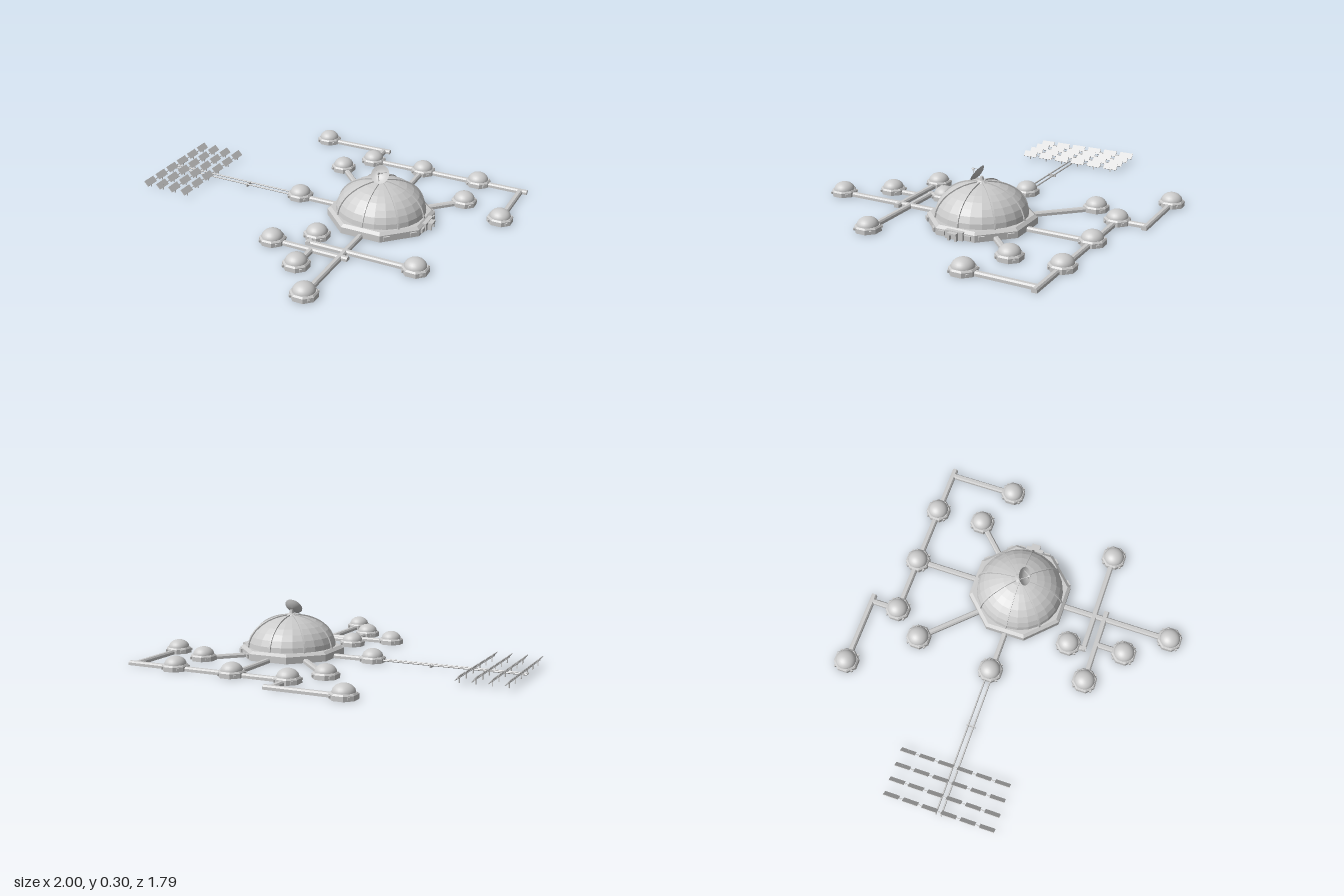
import * as THREE from 'three';

const flat = new THREE.MeshStandardMaterial({ color: 0xcccccc, flatShading: true, side: THREE.DoubleSide });
const smooth = new THREE.MeshStandardMaterial({ color: 0xcccccc, side: THREE.DoubleSide });
const HUB = { x: 0.34, z: -0.06 };

function add(parent, name, geometry, material = flat, x = 0, y = 0, z = 0) {
  const mesh = new THREE.Mesh(geometry, material);
  mesh.name = name;
  mesh.position.set(x, y, z);
  parent.add(mesh);
  return mesh;
}

// Eight-sided wall ring with flat faces toward the axes
function octagon(profile) {
  const k = 1 / Math.cos(Math.PI / 8);
  const points = profile.map(([r, y]) => new THREE.Vector2(r * k, y));
  return new THREE.LatheGeometry(points, 8, Math.PI / 8);
}

function halfDome(radius, height, around, rings) {
  return new THREE.SphereGeometry(radius, around, rings, 0, Math.PI * 2, 0, Math.PI / 2)
    .scale(1, height / radius, 1);
}

// Round bar between two points
function rod(parent, name, a, b, radius) {
  const from = new THREE.Vector3(...a), to = new THREE.Vector3(...b);
  const dir = to.clone().sub(from);
  const mesh = add(parent, name, new THREE.CylinderGeometry(radius, radius, dir.length(), 6));
  mesh.position.copy(from).add(to).multiplyScalar(0.5);
  mesh.quaternion.setFromUnitVectors(new THREE.Vector3(0, 1, 0), dir.normalize());
}

// Low corridor with a chamfered roof, along the ground between two points
function corridor(parent, x1, z1, x2, z2) {
  const w = 0.015, h = 0.022;
  const section = new THREE.Shape([[-w, 0], [w, 0], [w, h * 0.65], [w * 0.55, h], [-w * 0.55, h], [-w, h * 0.65]]
    .map(([x, y]) => new THREE.Vector2(x, y)));
  const length = Math.hypot(x2 - x1, z2 - z1);
  const mesh = add(parent, 'corridor',
    new THREE.ExtrudeGeometry(section, { depth: length, bevelEnabled: false }), flat, x1, 0, z1);
  mesh.rotation.y = Math.atan2(x2 - x1, z2 - z1);
}

// Small habitat: octagonal wall, smooth dome and corner fittings
function habitat(parent, x, z) {
  const g = new THREE.Group();
  g.name = 'habitat';
  g.position.set(x, 0, z);
  add(g, 'habitatWall', octagon([[0.065, 0], [0.065, 0.024], [0.058, 0.032], [0.05, 0.032]]));
  add(g, 'habitatDome', halfDome(0.057, 0.044, 24, 8), smooth, 0, 0.029, 0);
  for (let i = 0; i < 4; i++) {
    const a = Math.PI / 4 + i * Math.PI / 2;
    const fitting = add(g, 'wallFitting', new THREE.BoxGeometry(0.012, 0.012, 0.016), flat,
      Math.sin(a) * 0.066, 0.014, Math.cos(a) * 0.066);
    fitting.rotation.y = a;
  }
  parent.add(g);
}

function mainDome() {
  const g = new THREE.Group();
  g.name = 'mainDome';
  g.position.set(HUB.x, 0, HUB.z);
  add(g, 'baseWall', octagon([[0.267, 0], [0.267, 0.036], [0.25, 0.05], [0.225, 0.05]]));
  add(g, 'domeShell', halfDome(0.245, 0.175, 24, 8), flat, 0, 0.042, 0);

  // Ribs follow the shell from the wall to the crown
  const arc = new THREE.Shape();
  arc.absellipse(0, 0, 0.251, 0.181, 0, Math.PI / 2, false);
  arc.lineTo(0, 0.17);
  arc.absellipse(0, 0, 0.238, 0.17, Math.PI / 2, 0, true);
  const ribGeometry = new THREE.ExtrudeGeometry(arc, { depth: 0.009, bevelEnabled: false, curveSegments: 10 })
    .translate(0, 0, -0.0045);
  for (let i = 0; i < 8; i++) {
    add(g, 'rib', ribGeometry, flat, 0, 0.042, 0).rotation.y = i * Math.PI / 4;
  }

  // Windows on the three faces around the entrance
  for (const a of [Math.PI / 4, Math.PI / 2, 3 * Math.PI / 4]) {
    const face = new THREE.Group();
    face.name = 'windowFace';
    face.rotation.y = a;
    for (const s of [-1, 1]) {
      add(face, 'window', new THREE.BoxGeometry(0.034, 0.022, 0.014), flat, s * 0.075, 0.02, 0.27);
    }
    g.add(face);
  }

  // Entrance: porch, outer frame and door
  add(g, 'porch', new THREE.BoxGeometry(0.05, 0.044, 0.1), flat, 0.255, 0.022, 0);
  add(g, 'doorLintel', new THREE.BoxGeometry(0.03, 0.01, 0.05), flat, 0.29, 0.035, 0);
  for (const s of [-1, 1]) {
    add(g, 'doorPost', new THREE.BoxGeometry(0.024, 0.03, 0.01), flat, 0.289, 0.015, s * 0.02);
  }
  g.add(dish());
  return g;
}

// Tilted dish on a turret at the crown, looking up and forward
function dish() {
  const g = new THREE.Group();
  g.name = 'antenna';
  add(g, 'turret', new THREE.CylinderGeometry(0.018, 0.036, 0.018, 12), flat, 0, 0.219, 0);
  add(g, 'mast', new THREE.CylinderGeometry(0.009, 0.014, 0.022, 8), flat, 0, 0.236, 0);
  const head = new THREE.Group();
  head.name = 'dishHead';
  head.position.set(0, 0.252, 0.012);
  head.rotation.x = 0.96;
  const bowl = [[0, 0], [0.018, 0.002], [0.036, 0.008], [0.051, 0.017]].map(p => new THREE.Vector2(...p));
  add(head, 'dishBowl', new THREE.LatheGeometry(bowl, 20), smooth);
  for (let i = 0; i < 3; i++) {
    const a = i * Math.PI * 2 / 3;
    rod(head, 'feedStrut', [Math.sin(a) * 0.035, 0.008, Math.cos(a) * 0.035], [0, 0.05, 0], 0.0017);
  }
  add(head, 'feedHorn', new THREE.CylinderGeometry(0.004, 0.007, 0.012, 8), flat, 0, 0.048, 0);
  g.add(head);
  return g;
}

// Four rows of six tilted panels, fed by a pair of pipes
function solarField() {
  const g = new THREE.Group();
  g.name = 'solarField';
  for (const x of [-0.985, -0.903, -0.82, -0.736]) {
    rod(g, 'panelAxle', [x, 0.028, HUB.z - 0.3], [x, 0.028, HUB.z + 0.3], 0.003);
    for (let i = 0; i < 6; i++) {
      const z = HUB.z + (i - 2.5) * 0.107;
      add(g, 'solarPanel', new THREE.BoxGeometry(0.038, 0.004, 0.083), flat, x, 0.033, z).rotation.z = -0.85;
      add(g, 'panelPost', new THREE.BoxGeometry(0.005, 0.03, 0.005), flat, x + 0.003, 0.015, z);
    }
  }
  for (const s of [-1, 1]) {
    rod(g, 'powerPipe', [-1, 0.014, HUB.z + s * 0.015], [-0.2, 0.014, HUB.z + s * 0.015], 0.0045);
  }
  add(g, 'pipeSupport', new THREE.BoxGeometry(0.006, 0.016, 0.05), flat, -0.49, 0.008, HUB.z);
  return g;
}

export function createModel() {
  const model = new THREE.Group();
  model.name = 'domeBase';
  model.add(mainDome());

  const habitats = [
    [-0.36, -0.84], [0.02, -0.68], [0.34, -0.68], [0.68, -0.68], [0.93, -0.3], [-0.1, -0.51], [0.69, -0.41],
    [-0.155, -0.065], [0.135, 0.295], [-0.045, 0.445], [0.18, 0.605], [0.72, 0.385], [0.34, 0.825],
  ];
  for (const [x, z] of habitats) habitat(model, x, z);

  // Each corridor stops inside a wall or runs past a junction as a stub
  const corridors = [
    [-0.31, -0.84, 0.06, -0.84], [0.02, -0.84, 0.02, -0.73],
    [0.07, -0.68, 0.29, -0.68], [0.39, -0.68, 0.63, -0.68], [0.73, -0.68, 0.97, -0.68],
    [0.93, -0.68, 0.93, -0.35], [0.34, -0.63, 0.34, -0.31],
    [-0.065, -0.475, 0.16, -0.24], [0.655, -0.375, 0.52, -0.24],
    [-0.105, -0.06, 0.09, -0.06], [0.34, 0.19, 0.34, 0.775],
    [0.12, 0.385, 0.67, 0.385], [0.135, 0.345, 0.135, 0.4],
    [0.005, 0.445, 0.385, 0.445], [0.18, 0.445, 0.18, 0.555],
  ];
  for (const c of corridors) corridor(model, ...c);

  model.add(solarField());
  return model;
}
